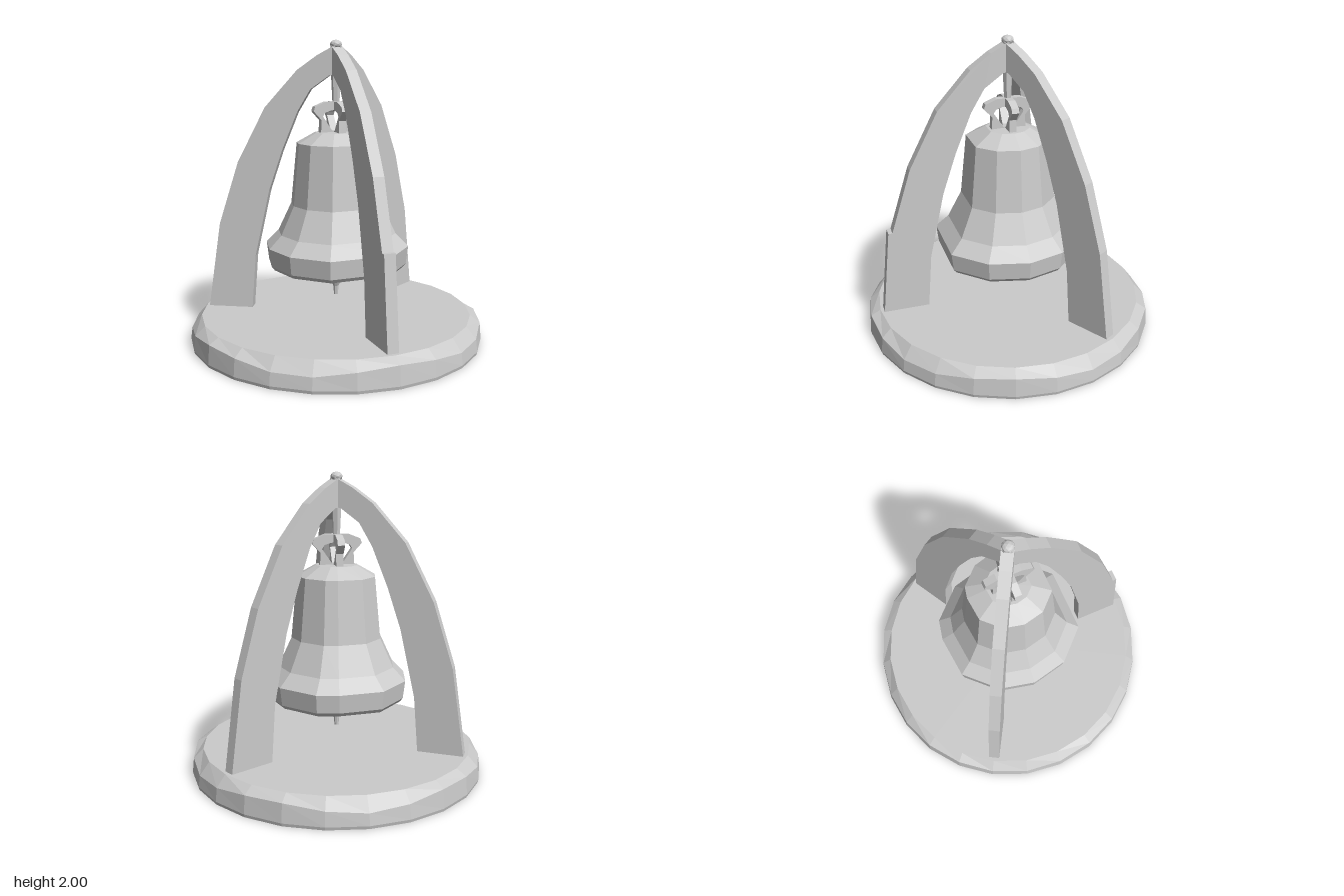
import * as THREE from 'three';

const material = new THREE.MeshStandardMaterial({ color: 0xcccccc, flatShading: true, side: THREE.DoubleSide });

function part(name, geometry) {
  const mesh = new THREE.Mesh(geometry, material);
  mesh.name = name;
  return mesh;
}

const points = (list) => list.map(([x, y]) => new THREE.Vector2(x, y));

// Flat plate cut from an outline, centred on its thickness
function plate(name, outline, depth, hole) {
  const shape = new THREE.Shape(points(outline));
  if (hole) shape.holes.push(new THREE.Path(points(hole)));
  const geometry = new THREE.ExtrudeGeometry(shape, { depth, bevelEnabled: false });
  geometry.translate(0, 0, -depth / 2);
  return part(name, geometry);
}

// Faceted solid of revolution; uneven facets [degrees from +x towards +z, radius scale] give a hand-cut look
function faceted(name, profile, facets) {
  const positions = [], indices = [];
  const n = facets.length;
  for (const [r, y] of profile) {
    for (const [angle, scale] of facets) {
      const t = THREE.MathUtils.degToRad(angle);
      positions.push(r * scale * Math.cos(t), y, r * scale * Math.sin(t));
    }
  }
  for (let i = 0; i < profile.length - 1; i++) {
    for (let j = 0; j < n; j++) {
      const a = i * n + j, b = i * n + (j + 1) % n;
      indices.push(a, b, a + n, b, b + n, a + n);
    }
  }
  const geometry = new THREE.BufferGeometry();
  geometry.setAttribute('position', new THREE.Float32BufferAttribute(positions, 3));
  geometry.setIndex(indices);
  geometry.computeVertexNormals();
  return part(name, geometry);
}

function lathe(name, profile, sides) {
  return part(name, new THREE.LatheGeometry(points(profile), sides));
}

export function createModel() {
  const model = new THREE.Group();

  // Round base, open underneath, with an uneven chamfer around the top edge
  const base = lathe('base', [[0.98, 0], [0.985, 0.02], [0.975, 0.12], [0.91, 0.18], [0, 0.18]], 24);
  const p = base.geometry.attributes.position;
  for (let i = 0; i < p.count; i++) {
    if (Math.abs(p.getY(i) - 0.12) < 0.01) {
      const a = Math.atan2(p.getZ(i), p.getX(i));
      p.setY(i, 0.12 + 0.025 * Math.sin(5 * a));
    }
  }
  base.geometry.computeVertexNormals();
  model.add(base);

  // Three curved legs meeting at the top; the front one has a small ledge
  const foot = [[0.58, 0.165], [0.887, 0.165]];
  const ledge = [[0.825, 0.765]];
  const arch = [
    [0.798, 0.765], [0.663, 1.19], [0.472, 1.56], [0.253, 1.805], [0.12, 1.9], [0, 1.965],
    [0, 1.775], [0.04, 1.77], [0.165, 1.68], [0.254, 1.53], [0.36, 1.27], [0.45, 1.0], [0.55, 0.55],
  ];
  [['frontLeg', 90, ledge], ['backLeftLeg', -30, []], ['backRightLeg', 210, []]].forEach(([name, angle, step]) => {
    const leg = plate(name, [...foot, ...step, ...arch], 0.075);
    leg.rotation.y = -THREE.MathUtils.degToRad(angle);
    model.add(leg);
  });

  // Finial over the joint
  const finial = part('finial', new THREE.IcosahedronGeometry(0.04, 1));
  finial.scale.y = 0.75;
  finial.position.y = 1.97;
  model.add(finial);

  // Hanging rod between the joint and the crown
  const rod = part('hangingRod', new THREE.CylinderGeometry(0.035, 0.022, 0.26, 6));
  rod.position.y = 1.69;
  model.add(rod);

  // Hollow bell: outside from the crown down, then up the inside close to the wall
  const bellFacets = [
    [0, 1], [32, 1.02], [64, 1.05], [116, 1.05], [149, 1.01], [180, 0.98],
    [210, 1], [244, 1.03], [279, 1], [296, 1.03], [330, 1],
  ];
  model.add(faceted('bell', [
    [0, 1.405], [0.14, 1.4], [0.265, 1.33], [0.305, 0.92], [0.395, 0.73], [0.48, 0.645],
    [0.465, 0.525], [0.445, 0.5], [0.43, 0.56], [0.36, 0.72], [0.28, 0.91], [0.24, 1.31], [0.13, 1.375], [0, 1.38],
  ], bellFacets));

  // Two crossed loops that form the crown
  const loop = [
    [-0.115, 1.39], [0.115, 1.39], [0.11, 1.48], [0.165, 1.54], [0.155, 1.57], [0.08, 1.6],
    [-0.08, 1.6], [-0.155, 1.57], [-0.165, 1.54], [-0.11, 1.48],
  ];
  const loopHole = [
    [-0.035, 1.41], [-0.1, 1.505], [-0.085, 1.53], [-0.04, 1.545],
    [0.04, 1.545], [0.085, 1.53], [0.1, 1.505], [0.035, 1.41],
  ];
  const crown = new THREE.Group();
  crown.name = 'crown';
  for (let i = 0; i < 2; i++) {
    const arm = plate('crownLoop', loop, 0.048, loopHole);
    arm.rotation.y = i * Math.PI / 2;
    crown.add(arm);
  }
  model.add(crown);

  // Clapper hanging inside the bell
  model.add(lathe('clapper', [
    [0, 0.29], [0.014, 0.29], [0.02, 0.35], [0.05, 0.42], [0.045, 0.49], [0.018, 0.54], [0.015, 1.38],
  ], 8));

  return model;
}
